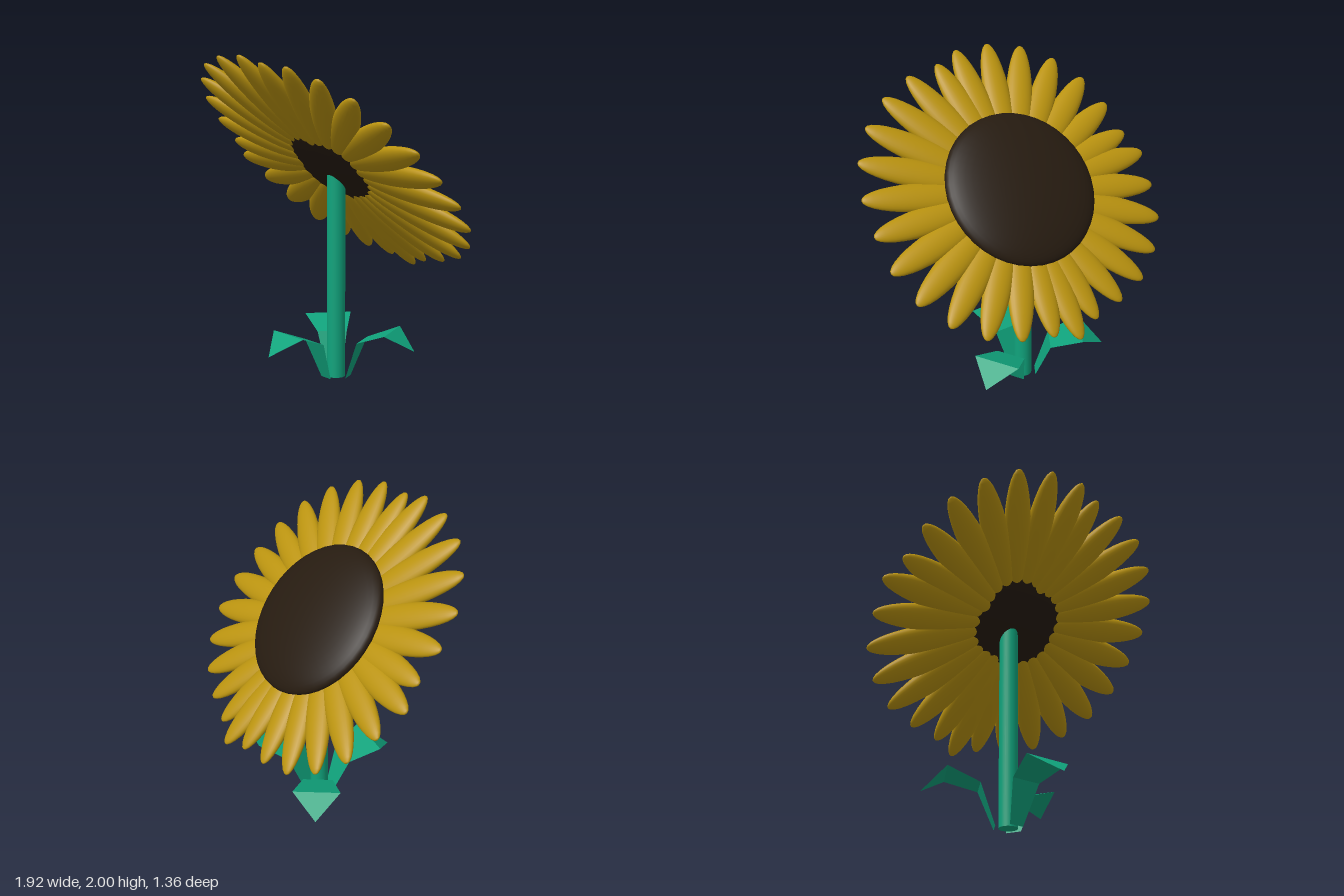
import * as THREE from 'three';

const STEM_X = -0.016, STEM_Z = -0.042;
const rad = THREE.MathUtils.degToRad;

const mat = (color, extra = {}) => new THREE.MeshStandardMaterial({ color, ...extra });

function addMesh(parent, name, geometry, material) {
  const mesh = new THREE.Mesh(geometry, material);
  mesh.name = name;
  parent.add(mesh);
  return mesh;
}

// A folded strip: level cross-sections [distance out, height, half width]
function leafGeometry() {
  const sections = [[0.08, 0, 0.047], [0.172, 0.245, 0.095], [0.37, 0.32, 0.15], [0.515, 0.205, 0]];
  const pos = [], index = [];
  sections.forEach(([d, y, w], i) => {
    pos.push(-w, y, d, w, y, d);
    const a = i * 2;
    if (i < 2) index.push(a, a + 1, a + 3, a, a + 3, a + 2);
    if (i === 2) index.push(a, a + 1, a + 2);
  });
  const g = new THREE.BufferGeometry();
  g.setAttribute('position', new THREE.Float32BufferAttribute(pos, 3));
  g.setIndex(index);
  const flat = g.toNonIndexed();
  flat.computeVertexNormals();
  return flat;
}

// Petal directions in degrees from the low edge, with the reach of each tip
function petalLayout() {
  const step = 40 / 3;
  const runs = [
    [0, [0.96]],
    [10, [0.905, 0.922, 0.955, 0.975, 0.985, 0.978, 0.961, 0.973, 0.985, 0.982, 0.968, 0.948, 0.915]],
    [180, [0.96, 0.978, 0.99, 0.985, 0.97, 0.938, 0.91]],
    [270, [0.961, 0.951, 0.971, 0.965, 0.949, 0.913, 0.897]],
  ];
  return runs.flatMap(([start, tips]) => tips.map((tip, i) => [start + i * step, tip]));
}

export function createModel() {
  const model = new THREE.Group();
  model.name = 'sunflower';
  const green = mat(0x10a37c);
  const leafGreen = mat(0x10a37c, { side: THREE.DoubleSide });
  const yellow = mat(0xba930f);
  const brown = mat(0x261b10);

  // Stem, its top buried in the seed disc
  const stem = addMesh(model, 'stem', new THREE.CylinderGeometry(0.057, 0.057, 1.3, 32), green);
  stem.position.set(STEM_X, 0.65, STEM_Z);

  // Three leaves around the foot
  const leaf = leafGeometry();
  for (let i = 0; i < 3; i++) {
    const m = addMesh(model, 'leaf', leaf, leafGreen);
    m.position.set(STEM_X, 0, STEM_Z);
    m.rotation.y = i * Math.PI * 2 / 3;
  }

  // Flower head, tilted up and back
  const head = new THREE.Group();
  head.name = 'flowerHead';
  head.position.y = 1.32;
  head.rotation.x = -Math.PI / 4;
  model.add(head);

  const disc = addMesh(head, 'seedDisc', new THREE.SphereGeometry(1, 40, 24), brown);
  disc.scale.set(0.483, 0.108, 0.483);
  disc.position.y = 0.064;

  // Petals: long flattened ellipsoids
  const petal = new THREE.SphereGeometry(1, 24, 16).rotateX(Math.PI / 2);
  for (const [angle, tip] of petalLayout()) {
    const arm = new THREE.Group();
    arm.name = 'petalArm';
    arm.rotation.y = -rad(angle);
    head.add(arm);
    const m = addMesh(arm, 'petal', petal, yellow);
    m.scale.set(0.087, 0.048, 0.38);
    m.position.z = -(tip - 0.38);
  }
  return model;
}
